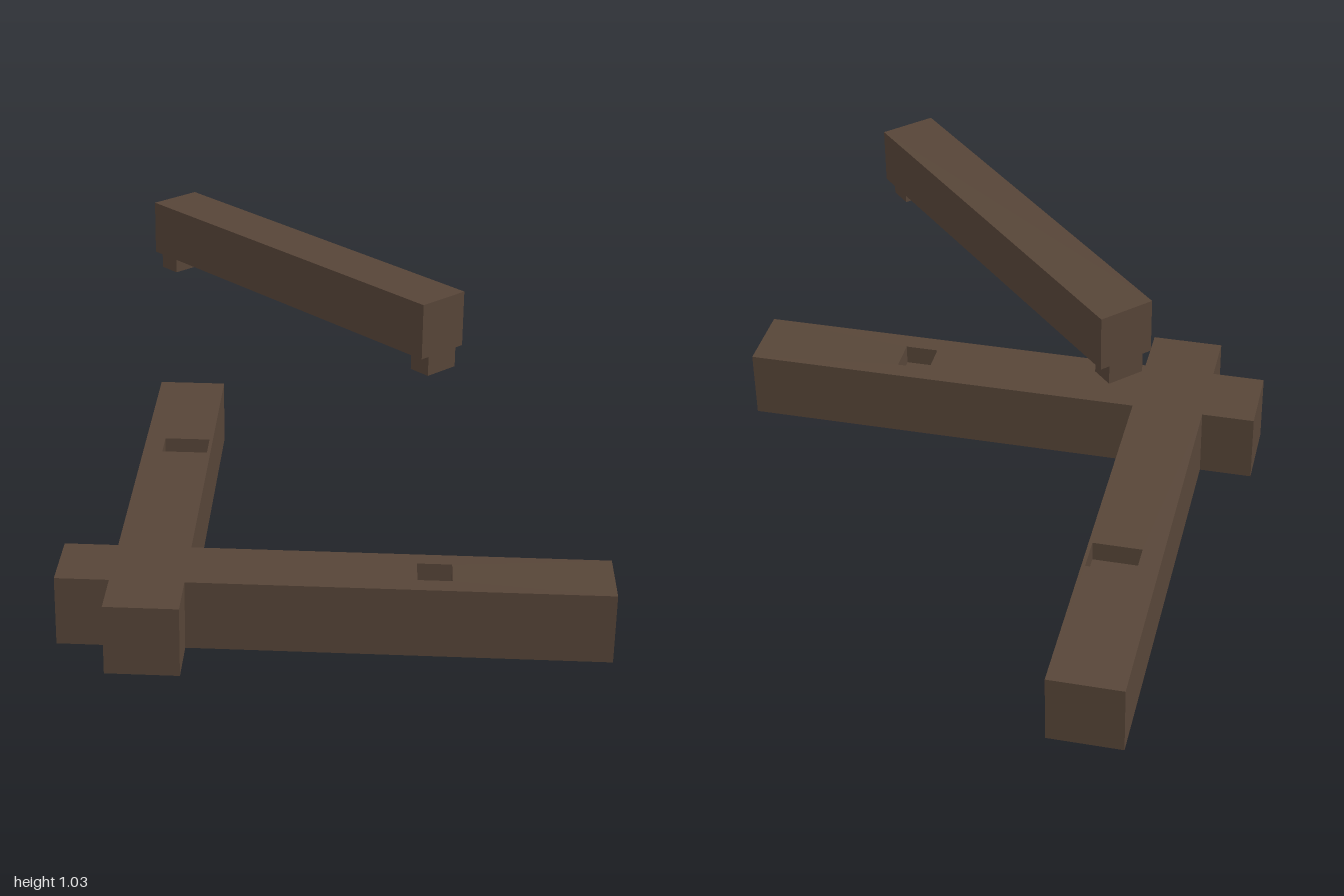
import * as THREE from 'three';

export function createModel() {
  const model = new THREE.Group();
  const wood = new THREE.MeshStandardMaterial({ color: 0x574538 });
  wood.name = 'dark wood';

  const add = (name, geometry, parent = model) => {
    const mesh = new THREE.Mesh(geometry, wood);
    mesh.name = name;
    parent.add(mesh);
    return mesh;
  };
  // Plan shapes are given as [x, z] and stood upright by the extrusion
  const toPoints = (list) => list.map(([x, z]) => new THREE.Vector2(x, -z));
  const extrudeUp = (shape, height) =>
    new THREE.ExtrudeGeometry(shape, { depth: height, bevelEnabled: false }).rotateX(-Math.PI / 2);

  // Two crossed beams, joined flush
  const height = 0.21, mortiseDepth = 0.06;
  const half = [[0, 0.52], [0.11, 0.63], [0.26, 0.48], [0.15, 0.37], [1, -0.48], [0.85, -0.63], [0, 0.22]];
  const mirrored = half.slice(1, -1).reverse().map(([x, z]) => [-x, z]);
  const plan = new THREE.Shape(toPoints([...half, ...mirrored]));

  // Mortises cut into the arms; the right one is wider
  const mortises = {
    left: [[0.638, -0.2], [0.568, -0.27], [0.498, -0.2], [0.568, -0.13]],
    right: [[-0.635, -0.2], [-0.565, -0.13], [-0.465, -0.23], [-0.535, -0.3]],
  };
  const base = new THREE.Group();
  base.name = 'crossedBase';
  model.add(base);
  for (const [side, corners] of Object.entries(mortises)) {
    const points = toPoints(corners);
    plan.holes.push(new THREE.Path(points));
    add(side + 'MortiseFloor', extrudeUp(new THREE.Shape(points), height - mortiseDepth), base);
  }
  add('crossedBeams', extrudeUp(plan, height), base);

  // Raised cross rail with a tenon under each end
  const rail = new THREE.Group();
  rail.name = 'crossRail';
  rail.position.set(0, 0.88, -0.197);
  model.add(rail);
  add('railBeam', new THREE.BoxGeometry(1.13, 0.155, 0.155), rail).position.y = 0.0775;
  for (const s of [-1, 1]) {
    add(s > 0 ? 'leftTenon' : 'rightTenon', new THREE.BoxGeometry(0.065, 0.055, 0.103), rail)
      .position.set(s * 0.5325, -0.0275, 0);
  }
  return model;
}
